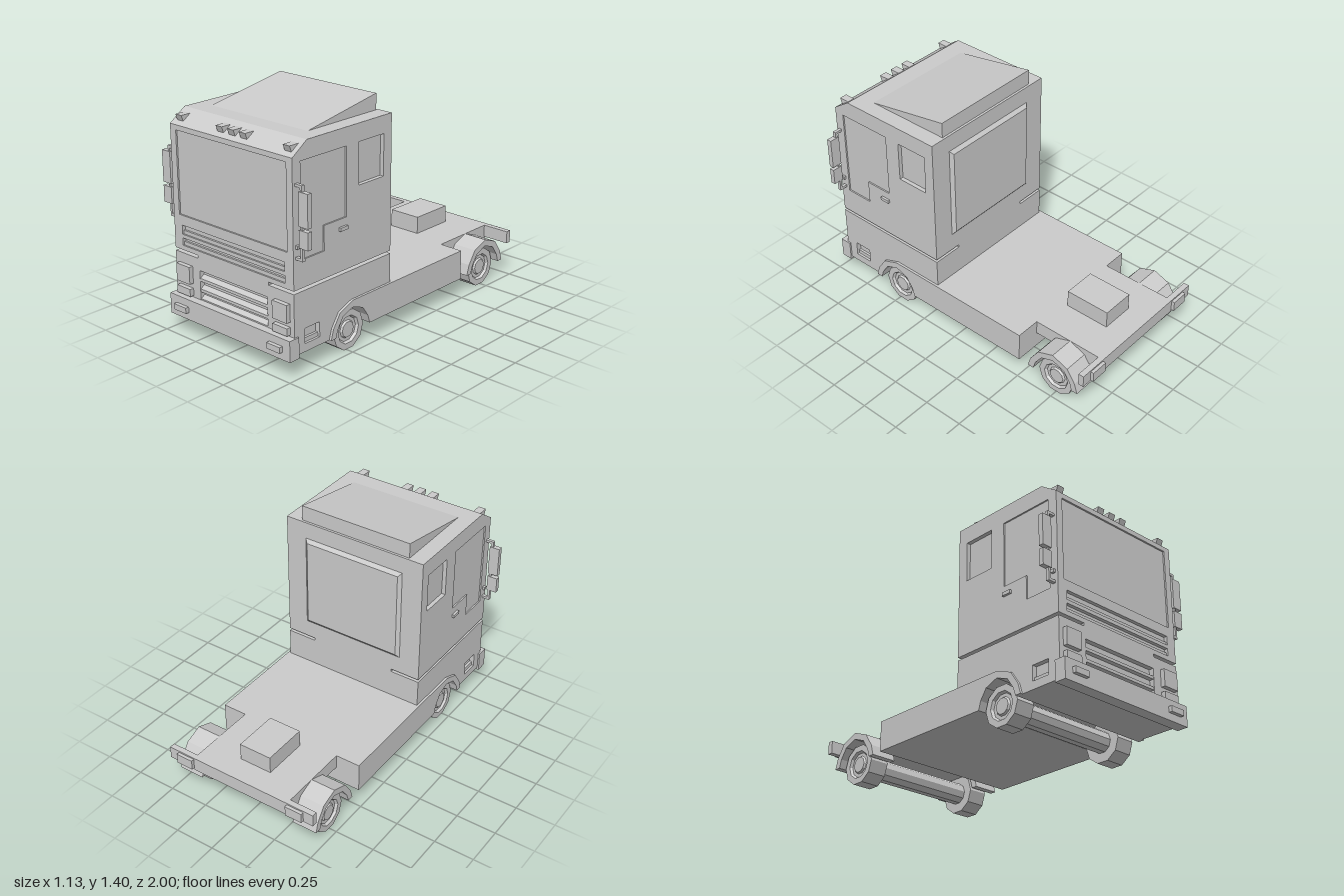
import * as THREE from 'three';

const mat = new THREE.MeshStandardMaterial({ color: 0xcccccc, flatShading: true });

export function createModel() {
  const root = new THREE.Group();

  const add = (name, geo) => {
    const m = new THREE.Mesh(geo, mat);
    m.name = name;
    root.add(m);
    return m;
  };
  // Box given by its limits on each axis
  const box = (name, x0, x1, y0, y1, z0, z1) =>
    add(name, new THREE.BoxGeometry(Math.abs(x1 - x0), y1 - y0, z1 - z0)
      .translate((x0 + x1) / 2, (y0 + y1) / 2, (z0 + z1) / 2));
  const rect = (u0, u1, v0, v1) => [[u0, v0], [u1, v0], [u1, v1], [u0, v1]];
  const shapeOf = (pts, holes = []) => {
    const toV = p => p.map(([a, b]) => new THREE.Vector2(a, b));
    const s = new THREE.Shape(toV(pts));
    holes.forEach(h => s.holes.push(new THREE.Path(toV(h))));
    return s;
  };
  // Side profile (z, y) extruded across x0..x1
  const side = (name, pts, x0, x1, holes) => {
    const lo = Math.min(x0, x1), hi = Math.max(x0, x1);
    return add(name, new THREE.ExtrudeGeometry(shapeOf(pts, holes), { depth: hi - lo, bevelEnabled: false })
      .rotateY(-Math.PI / 2).translate(hi, 0, 0));
  };
  // Front profile (x, y) extruded across z0..z1
  const front = (name, pts, z0, z1, holes) =>
    add(name, new THREE.ExtrudeGeometry(shapeOf(pts, holes), { depth: z1 - z0, bevelEnabled: false })
      .translate(0, 0, z0));

  // Wheel arch outline, from front to back over a wheel centre
  const halfArch = [[0.18, 0], [0.16, 0.065], [0.105, 0.145], [0, 0.185]];
  const arch = (zc, k = 1) => [...halfArch, ...halfArch.slice(0, 3).reverse().map(([z, y]) => [-z, y])]
    .map(([z, y]) => [zc + z * k, 0.127 + y * k]);
  const FZ = 0.48, RZ = -0.745, INNER = 0.78;

  // Chassis, rear deck and box
  side('chassis', [[-0.5, 0.127], [-0.5, 0.312], ...arch(FZ).slice(0, 4).reverse(),
    ...arch(FZ, INNER)], -0.485, 0.485);
  box('rearDeck', -0.33, 0.33, 0.225, 0.312, -0.98, -0.5);
  box('deckBox', -0.105, 0.105, 0.312, 0.42, -0.83, -0.545);
  box('rearBumper', -0.505, 0.505, 0.235, 0.312, -0.98, -0.945);

  // Upper cab: core with side and front skins that leave the windows recessed
  const cab = [[0.15, 0.505], [0.93, 0.505], [0.93, 1.24], [0.82, 1.315], [0.15, 1.315]];
  const door = [[0.87, 0.665], [0.87, 1.21], [0.52, 1.21], [0.52, 0.81], [0.695, 0.81], [0.695, 0.665]];
  side('cabCore', [[0.15, 0.505], [0.908, 0.505], [0.908, 1.225], [0.93, 1.225],
    [0.93, 1.24], [0.82, 1.315], [0.15, 1.315]], -0.445, 0.445);
  front('cabFront', rect(-0.445, 0.445, 0.505, 1.225), 0.908, 0.93, [
    rect(-0.425, 0.425, 0.715, 1.21),
    rect(-0.405, 0.405, 0.6, 0.655),
    rect(-0.405, 0.405, 0.533, 0.578)]);
  box('windscreen', -0.425, 0.425, 0.715, 1.21, 0.908, 0.92);
  for (const y of [0.6, 0.533]) box('ventSlat', -0.405, 0.405, y, y + 0.022, 0.908, 0.92);
  side('roofDeflector', [[0.72, 1.313], [0.165, 1.41], [0.165, 1.313]], -0.37, 0.37);
  box('cabNeck', -0.28, 0.28, 0.487, 0.505, 0.15, 0.93);

  // Raised rear wall panel with bevelled edges
  const panel = new THREE.BoxGeometry(0.67, 0.595, 0.018);
  const pp = panel.attributes.position;
  for (let i = 0; i < pp.count; i++) {
    if (pp.getZ(i) < 0) pp.setXY(i, pp.getX(i) * 0.94, pp.getY(i) * 0.925);
  }
  add('rearWallPanel', panel).position.set(0, 0.9125, 0.141);

  // Lower cab: core over the wheel arch, side skins and front with grille opening
  const lower = zf => [[0.15, 0.487], [0.15, 0.127], ...arch(FZ, INNER).reverse(),
    [zf, 0.127], [zf, 0.487]];
  side('lowerCabCore', lower(0.9), -0.44, 0.44);
  front('lowerCabFront', rect(-0.44, 0.44, 0.127, 0.487), 0.9, 0.93, [rect(-0.27, 0.27, 0.225, 0.415)]);
  for (const y of [0.35, 0.285, 0.225]) {
    side('grilleSlat', [[0.9, y], [0.928, y], [0.928, y + 0.018], [0.9, y + 0.035]], -0.27, 0.27);
  }
  box('frontBumper', -0.48, 0.48, 0.11, 0.235, 0.905, 0.977);

  // Roof marker lamps
  for (const x of [-0.415, -0.09, 0, 0.09, 0.415]) {
    side('roofLamp', [[0.9, 1.255], [0.915, 1.295], [0.83, 1.295], [0.83, 1.255]], x - 0.024, x + 0.024);
  }

  // Wheel profile: radius, height along the axle (outer face last)
  const tyre = [[0, -0.06], [0.122, -0.06], [0.122, 0.06], [0.085, 0.06], [0.075, 0.045],
    [0.055, 0.045], [0.047, 0.056], [0, 0.056]].map(([r, h]) => new THREE.Vector2(r, h));

  for (const s of [1, -1]) {
    // Cab side skins, windows and handle
    side('cabSide', cab, s * 0.445, s * 0.47, [door, rect(0.215, 0.42, 0.965, 1.21)]);
    side('doorWindow', door, s * 0.44, s * 0.461);
    box('doorHandle', s * 0.465, s * 0.485, 0.745, 0.765, 0.52, 0.58);
    side('lowerCabSide', lower(0.93), s * 0.44, s * 0.47, [rect(0.735, 0.85, 0.175, 0.265)]);
    box('sideStep', s * 0.435, s * 0.455, 0.175, 0.2, 0.735, 0.85);

    // Mirrors on their bracket
    box('mirrorArmTop', s * 0.465, s * 0.52, 1.085, 1.1, 0.893, 0.913);
    box('mirrorArmBottom', s * 0.465, s * 0.52, 0.68, 0.695, 0.893, 0.913);
    box('mirrorPole', s * 0.506, s * 0.52, 0.68, 1.1, 0.893, 0.913);
    box('mirrorMain', s * 0.5, s * 0.565, 0.875, 1.065, 0.888, 0.918);
    box('mirrorWide', s * 0.5, s * 0.565, 0.755, 0.855, 0.888, 0.918);
    box('mirrorMount', s * 0.465, s * 0.485, 0.74, 0.76, 0.893, 0.913);

    // Lamps
    box('headlamp', s * 0.33, s * 0.44, 0.32, 0.425, 0.92, 0.957);
    box('indicatorLamp', s * 0.33, s * 0.44, 0.245, 0.29, 0.92, 0.957);
    box('fogLamp', s * 0.325, s * 0.425, 0.155, 0.19, 0.97, 1.0);
    box('rearLamp', s * 0.33, s * 0.44, 0.24, 0.303, -1.0, -0.975);

    // Rear mudguard
    side('rearMudguard', [...arch(RZ), ...arch(RZ, INNER).reverse()], s * 0.325, s * 0.485);

    for (const z of [FZ, RZ]) {
      add('wheel', new THREE.LatheGeometry(tyre, 10).rotateZ(-s * Math.PI / 2))
        .position.set(s * 0.39, 0.122, z);
    }
  }

  // Axles
  for (const z of [FZ, RZ]) {
    add('axle', new THREE.CylinderGeometry(0.065, 0.065, 0.68, 10).rotateZ(Math.PI / 2))
      .position.set(0, 0.122, z);
  }
  return root;
}
